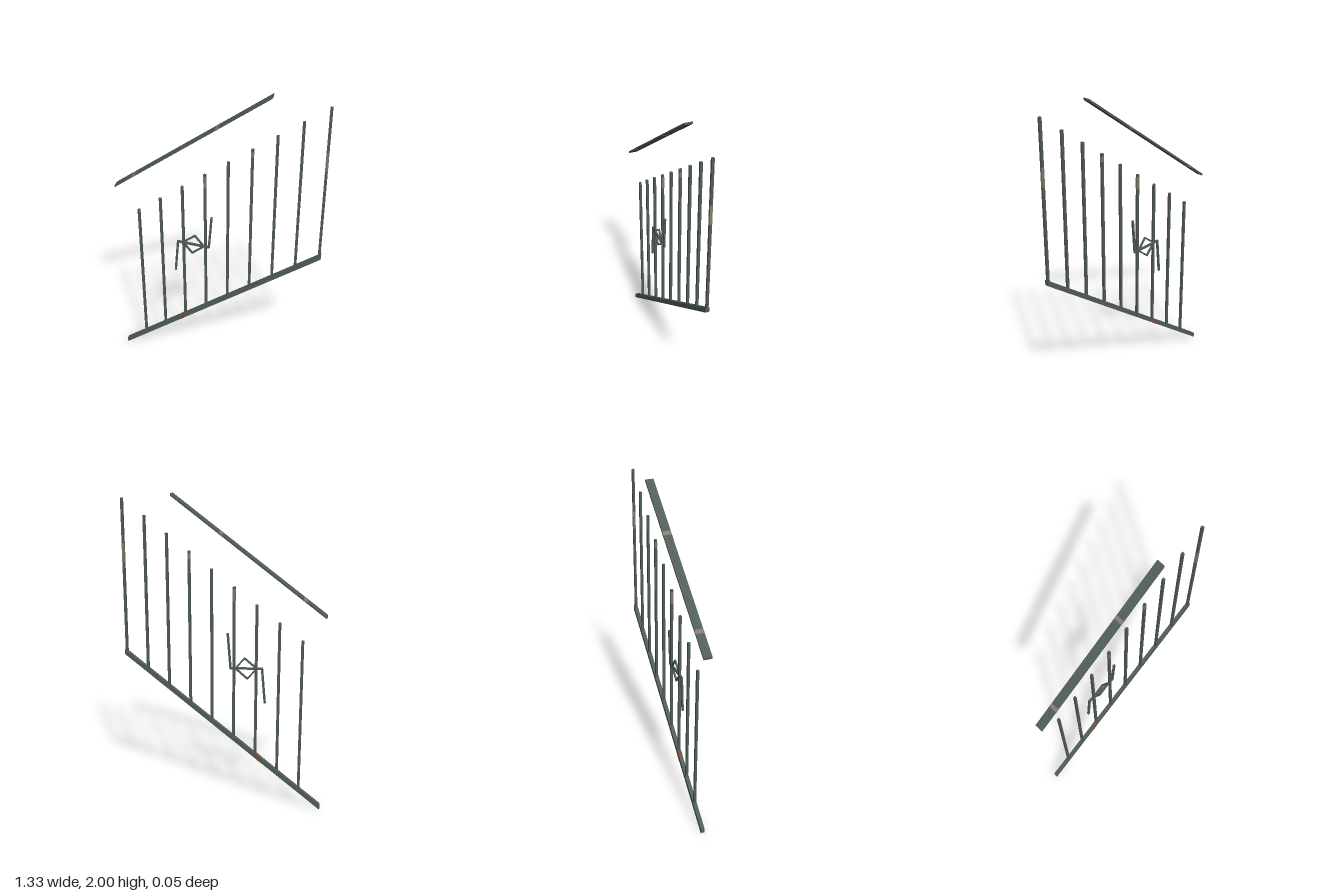
import * as THREE from 'three';

export function createModel() {
  const group = new THREE.Group();
  const mat = (name, color) => {
    const m = new THREE.MeshStandardMaterial({ color });
    m.name = name;
    return m;
  };
  const iron = mat('weathered iron', 0x515d59);
  const worn = mat('worn tan', 0x857b6e);
  const rust = mat('rust', 0x74503f);

  const SLOPE = 0.711;
  const add = (name, geometry, material) => {
    const mesh = new THREE.Mesh(geometry, material);
    mesh.name = name;
    group.add(mesh);
    return mesh;
  };

  // Sloping rail with plumb-cut ends: a box sheared along the stair pitch
  function rail(name, x0, x1, yAtZero, height, depth, material) {
    const g = new THREE.BoxGeometry(x1 - x0, height, depth);
    g.translate((x0 + x1) / 2, yAtZero, 0);
    const p = g.attributes.position;
    for (let i = 0; i < p.count; i++) p.setY(i, p.getY(i) + SLOPE * p.getX(i));
    g.computeVertexNormals();
    return add(name, g, material);
  }

  // Upright bar between two heights
  function upright(name, x, y0, y1, width, material) {
    const g = new THREE.BoxGeometry(width, y1 - y0, width);
    g.translate(x, (y0 + y1) / 2, 0);
    return add(name, g, material);
  }

  // Square bar joining two points in the railing plane
  function bar(name, [ax, ay], [bx, by], width) {
    const g = new THREE.BoxGeometry(Math.hypot(bx - ax, by - ay) + width * 0.6, width, width);
    const mesh = add(name, g, iron);
    mesh.position.set((ax + bx) / 2, (ay + by) / 2, 0);
    mesh.rotation.z = Math.atan2(by - ay, bx - ax);
  }

  // Bottom rail and flat handrail
  rail('bottomRail', -0.665, 0.662, 0.49, 0.034, 0.025, iron);
  rail('bottomRailRust', -0.265, -0.235, 0.49, 0.036, 0.027, rust);
  rail('handrail', -0.667, 0.32, 1.768, 0.014, 0.053, iron);
  for (const x of [-0.535, 0]) rail('handrailWear', x - 0.011, x + 0.011, 1.768, 0.016, 0.054, worn);

  // Balusters, rising with the stair
  const balusterX = (i) => -0.522 + i * 0.1466;
  for (let i = 0; i < 9; i++) {
    const x = balusterX(i);
    upright('baluster', x, 0.492 + SLOPE * x, 1.502 + SLOPE * x, 0.0155, iron);
  }

  // Worn patches: baluster index, bottom, top
  for (const [i, y0, y1] of [[3, 1.35, 1.43], [5, 1.6, 1.635], [8, 1.56, 1.68]]) {
    upright('balusterWear', balusterX(i), y0, y1, 0.0162, worn);
  }

  // Bent ornament with a diamond at its middle
  const arms = [[-0.288, 0.7], [-0.267, 0.925], [-0.06, 0.911], [-0.041, 1.137]];
  for (let i = 0; i < 3; i++) bar('ornamentArm', arms[i], arms[i + 1], 0.0125);
  const diamond = [[-0.233, 0.924], [-0.152, 0.985], [-0.093, 0.912], [-0.172, 0.85]];
  diamond.forEach((p, i) => bar('ornamentDiamond', p, diamond[(i + 1) % 4], 0.0105));

  return group;
}
